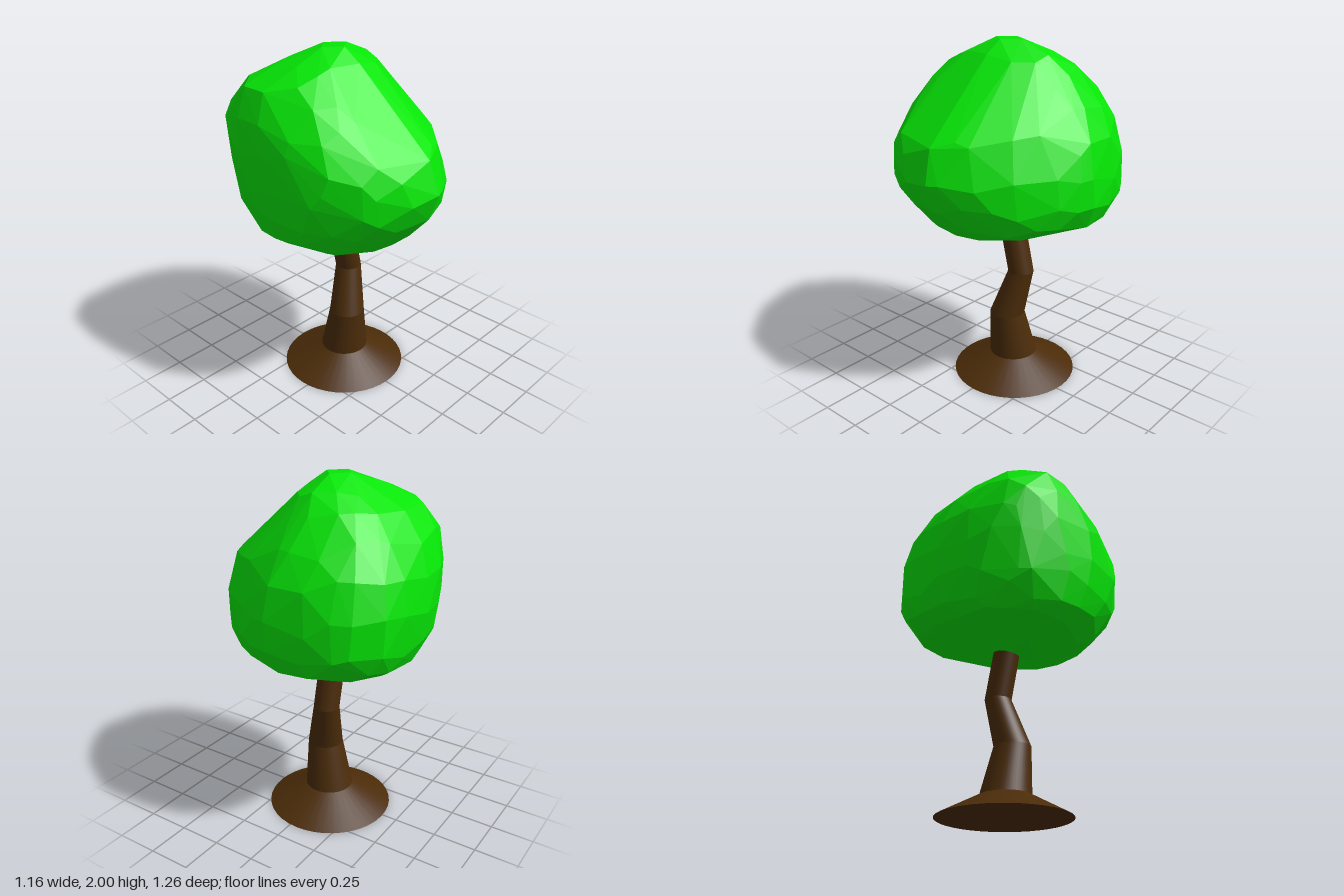
import * as THREE from 'three';
import { ConvexGeometry } from 'three/addons/geometries/ConvexGeometry.js';

const leafGreen = new THREE.MeshStandardMaterial({ color: 0x06e606 });
leafGreen.name = 'leafGreen';
const barkBrown = new THREE.MeshStandardMaterial({ color: 0x4b2c09 });
barkBrown.name = 'barkBrown';

// Crown levels from the bottom up: [height, min x, max x, min z, max z]
const LEVELS = [
  [0.905, -0.15, -0.04, -0.1, 0.08],
  [0.93, -0.28, 0.07, -0.28, 0.25],
  [0.985, -0.42, 0.33, -0.47, 0.38],
  [1.05, -0.51, 0.515, -0.55, 0.455],
  [1.18, -0.555, 0.578, -0.61, 0.57],
  [1.34, -0.578, 0.575, -0.63, 0.635],
  [1.52, -0.578, 0.54, -0.607, 0.58],
  [1.68, -0.555, 0.45, -0.55, 0.39],
  [1.83, -0.49, 0.325, -0.43, 0.215],
  [1.93, -0.3, 0.22, -0.25, 0.125],
  [2, -0.13, 0.05, -0.13, 0.02],
];

// Roundness of the plan quarters front left, front right, back right, back left
// at the bottom, middle and top of the crown
const ROUNDNESS = [[2.6, 2.2, 2.3, 2.5], [1.5, 2.5, 2.3, 2.8], [1.9, 2.3, 4.5, 2.6]];

function seeded(seed) {
  return () => {
    seed = (seed * 16807) % 2147483647;
    return seed / 2147483647;
  };
}

// Row of a table at a fractional index
function blendRows(table, t) {
  const i = Math.min(Math.floor(t), table.length - 2);
  return table[i].map((v, k) => THREE.MathUtils.lerp(v, table[i + 1][k], t - i));
}

// Point on the crown at a fractional level and a quarter turn count
function crownPoint(level, turn, shrink) {
  const [y, x0, x1, z0, z1] = blendRows(LEVELS, level);
  const power = 2 / blendRows(ROUNDNESS, level / 5)[Math.floor(turn) % 4];
  const bend = (v) => Math.sign(v) * Math.pow(Math.abs(v), power) * shrink;
  const c = bend(Math.cos(turn * Math.PI / 2)), s = bend(Math.sin(turn * Math.PI / 2));
  return new THREE.Vector3((x0 + x1 + (x1 - x0) * c) / 2, y, (z0 + z1 + (z1 - z0) * s) / 2);
}

// Faceted crown: uneven rings of points wrapped in a hull
function crownGeometry() {
  const random = seeded(77);
  const points = [];
  LEVELS.forEach(([, x0, x1], row) => {
    const perQuarter = Math.max(1, Math.round((x1 - x0) * 5.2));
    for (let k = 0; k < perQuarter * 4; k++) {
      const loose = k % perQuarter === 0 ? 0 : 1;
      const level = THREE.MathUtils.clamp(row + loose * (random() - 0.5) * 0.8, 0, LEVELS.length - 1);
      const turn = (k + loose * (random() - 0.5) * 0.7) / perQuarter;
      points.push(crownPoint(level, turn, 1 - loose * 0.015 * random()));
    }
  });
  return new ConvexGeometry(points);
}

// Slanted tapering piece between two level rings [x, y, z, radius]
function trunkPiece(a, b, open) {
  const h = b[1] - a[1];
  const geometry = new THREE.CylinderGeometry(b[3], a[3], h, 40, 1, open);
  geometry.translate(0, h / 2, 0);
  geometry.applyMatrix4(new THREE.Matrix4().makeShear(0, 0, (b[0] - a[0]) / h, (b[2] - a[2]) / h, 0, 0));
  geometry.translate(a[0], a[1], a[2]);
  return geometry;
}

export function createModel() {
  const tree = new THREE.Group();
  tree.name = 'tree';
  const add = (name, geometry, material) => {
    const mesh = new THREE.Mesh(geometry, material);
    mesh.name = name;
    tree.add(mesh);
  };

  // Flared root and crooked trunk
  const rings = [
    [0.015, 0, -0.042, 0.367],
    [0.012, 0.12, -0.035, 0.14],
    [-0.003, 0.39, 0.002, 0.103],
    [0.061, 0.66, -0.046, 0.075],
    [-0.025, 1.03, -0.046, 0.075],
  ];
  const names = ['rootFlare', 'lowerTrunk', 'middleTrunk', 'upperTrunk'];
  names.forEach((name, i) => {
    add(name, trunkPiece(rings[i], rings[i + 1], i === 1 || i === 2), barkBrown);
  });

  // Leafy crown
  add('crown', crownGeometry(), leafGreen);
  return tree;
}
